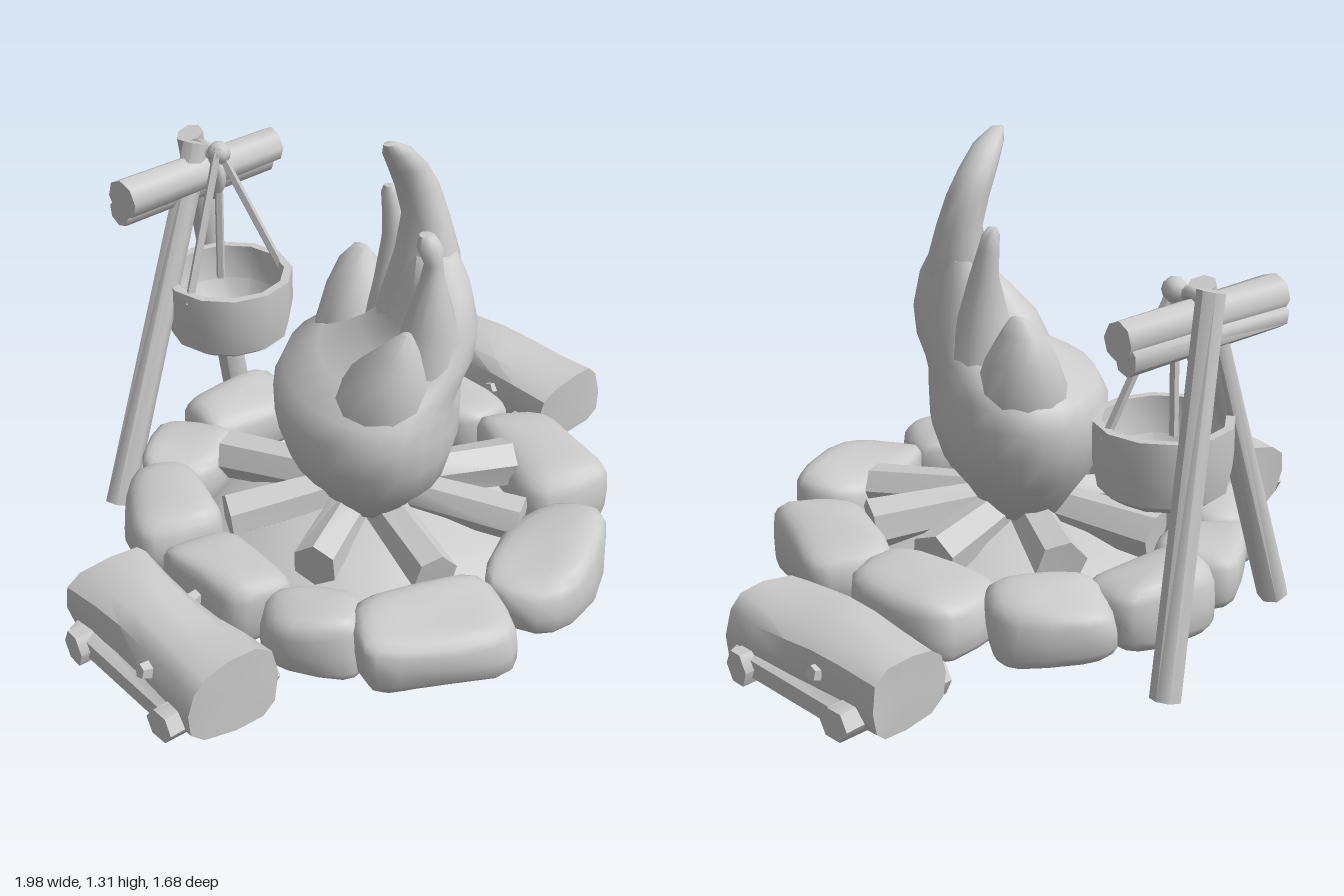
import * as THREE from 'three';
import { toCreasedNormals } from 'three/addons/utils/BufferGeometryUtils.js';

const mat = new THREE.MeshStandardMaterial({ color: 0xcccccc });
const matDouble = new THREE.MeshStandardMaterial({ color: 0xcccccc, side: THREE.DoubleSide });
const V = (x, y, z) => new THREE.Vector3(x, y, z);

function add(parent, name, geometry, material = mat) {
  const mesh = new THREE.Mesh(geometry, material);
  mesh.name = name;
  parent.add(mesh);
  return mesh;
}

// Repeatable wobble that depends only on position, so seams stay closed
function roughen(geometry, amount, seed) {
  const p = geometry.attributes.position;
  const v = V(0, 0, 0);
  const wave = (a, b, c, k) => Math.sin(a * 17 + b * 11 + c * 7 + seed * 2.3 + k);
  for (let i = 0; i < p.count; i++) {
    v.fromBufferAttribute(p, i);
    p.setXYZ(i, v.x + amount * wave(v.x, v.y, v.z, 0),
      v.y + amount * wave(v.y, v.z, v.x, 2), v.z + amount * wave(v.z, v.x, v.y, 4));
  }
  return geometry;
}

// Closed skin over level elliptical rings [x, y, z, radiusX, radiusZ], bottom to top;
// skew turns the long axis of the rings towards a diagonal
function loft(rows, sides, skew = 0) {
  const pos = [], idx = [];
  rows.forEach(([x, y, z, rx, rz]) => {
    for (let j = 0; j < sides; j++) {
      const a = (j / sides) * Math.PI * 2;
      pos.push(x + rx * Math.cos(a + skew), y, z + rz * Math.sin(a));
    }
  });
  const first = rows[0], last = rows[rows.length - 1];
  pos.push(first[0], first[1], first[2], last[0], last[1], last[2]);
  const c0 = rows.length * sides, top = c0 - sides;
  for (let j = 0; j < sides; j++) {
    const k = (j + 1) % sides;
    for (let i = 0; i < rows.length - 1; i++) {
      const a = i * sides + j, b = i * sides + k;
      idx.push(a, a + sides, b, b, a + sides, b + sides);
    }
    idx.push(c0, j, k, c0 + 1, top + k, top + j);
  }
  const g = new THREE.BufferGeometry();
  g.setAttribute('position', new THREE.Float32BufferAttribute(pos, 3));
  g.setIndex(idx);
  return toCreasedNormals(g, 1.1);
}

// Straight, slightly uneven piece of wood between two points
function beam(parent, name, a, b, r0, r1 = r0, sides = 7, rough = 0.006) {
  const d = b.clone().sub(a);
  const g = new THREE.CylinderGeometry(r1, r0, d.length(), sides, 1);
  roughen(g, rough, a.x * 9 + b.z * 5);
  const mesh = add(parent, name, toCreasedNormals(g, 0.95));
  mesh.position.copy(a).add(b).multiplyScalar(0.5);
  mesh.quaternion.setFromUnitVectors(V(0, 1, 0), d.normalize());
  return mesh;
}

// Push a round coordinate towards a box
const boxy = (t, power) => Math.sign(t) * Math.pow(Math.abs(t), power);

// Boulder
function stone(parent, x, z, length, width, turn, seed) {
  const g = new THREE.SphereGeometry(1, 16, 12);
  const p = g.attributes.position;
  for (let i = 0; i < p.count; i++) {
    p.setXYZ(i, boxy(p.getX(i), 0.6), boxy(p.getY(i), 0.5), boxy(p.getZ(i), 0.6));
  }
  g.scale(length / 2, 0.1, width / 2);
  roughen(g, 0.012, seed);
  const mesh = add(parent, 'stone', toCreasedNormals(g, 0.9));
  mesh.position.set(x, 0.14, z);
  mesh.rotation.y = turn;
}

// Squarish seat log lying along z on low cross pieces
function seat(x, z, turn, seed) {
  const group = new THREE.Group();
  group.name = 'logSeat';
  const g = new THREE.CylinderGeometry(1, 1, 0.57, 12, 5);
  g.rotateX(Math.PI / 2);
  const p = g.attributes.position;
  for (let i = 0; i < p.count; i++) {
    p.setXY(i, 0.133 * boxy(p.getX(i), 0.7), 0.112 * boxy(p.getY(i), 0.7));
  }
  roughen(g, 0.01, seed);
  add(group, 'log', toCreasedNormals(g, 0.7)).position.y = 0.127;
  for (const s of [-1, 1]) {
    beam(group, 'crossPiece', V(-0.17, 0.075, s * 0.2), V(0.18, 0.075, s * 0.2), 0.052, 0.048, 6);
    beam(group, 'twigStub', V(s * 0.08, 0.14, s * -0.08), V(s * 0.148, 0.16, s * -0.08), 0.03, 0.02, 5, 0.003);
  }
  beam(group, 'sideRail', V(0.105, 0.07, -0.2), V(0.105, 0.07, 0.25), 0.05, 0.05, 6);
  group.position.set(x, 0, z);
  group.rotation.y = turn;
  return group;
}

function firePit() {
  const group = new THREE.Group();
  group.name = 'firePit';
  // Ash bed
  const ash = [[0, 0.025], [0.46, 0.025], [0.5, 0.06], [0.42, 0.12], [0.25, 0.19], [0, 0.23]]
    .map(([r, y]) => new THREE.Vector2(r, y));
  add(group, 'ashBed', toCreasedNormals(new THREE.LatheGeometry(ash, 20), 0.6)).position.set(-0.02, 0, 0.1);
  // Ring of stones: x, z, length, width, turn
  [[-0.26, 0.66, 0.45, 0.29, -0.36], [0.185, 0.63, 0.46, 0.27, 0.42],
    [0.5, 0.27, 0.46, 0.28, 1.33], [0.48, -0.16, 0.41, 0.27, 1.8],
    [0.27, -0.44, 0.35, 0.25, -0.6], [-0.03, -0.5, 0.36, 0.25, 0.05],
    [-0.29, -0.41, 0.3, 0.24, 0.6], [-0.49, -0.21, 0.35, 0.25, 1.2],
    [-0.545, 0.145, 0.36, 0.24, 1.6], [-0.48, 0.45, 0.29, 0.2, -0.75]]
    .forEach((s, i) => stone(group, ...s, i));
  // Firewood pointing to the middle: outer end x, z
  [[-0.22, -0.3], [0.12, -0.3], [-0.4, -0.05], [-0.36, 0.29], [-0.14, 0.53],
    [0.22, 0.48], [0.39, 0.25], [0.38, -0.05]].forEach(([x, z]) => {
    const outer = V(x, 0.2, z), inner = V(-0.03, 0.24, 0.1).lerp(outer, 0.12);
    beam(group, 'firewood', outer, inner, 0.07, 0.058, 6);
  });
  return group;
}

function flame() {
  const group = new THREE.Group();
  group.name = 'flame';
  // Pear-shaped body with a shoulder sloping up to its tallest tongue
  add(group, 'flameBody', loft([
    [-0.03, 0.23, 0.1, 0.13, 0.17], [-0.03, 0.3, 0.1, 0.175, 0.225],
    [-0.035, 0.38, 0.11, 0.245, 0.3], [-0.035, 0.48, 0.11, 0.282, 0.335],
    [-0.035, 0.56, 0.11, 0.284, 0.34], [-0.02, 0.62, 0.115, 0.265, 0.325],
    [0.02, 0.67, 0.15, 0.215, 0.275], [0.07, 0.72, 0.2, 0.158, 0.215],
    [0.1, 0.8, 0.22, 0.125, 0.18], [0.11, 0.9, 0.21, 0.1, 0.15], [0.12, 0.98, 0.19, 0.07, 0.1]], 24, 0.3));
  const tongues = [
    // tall curling tongue
    [[0.09, 0.7, 0.18, 0.12, 0.16], [0.12, 0.95, 0.18, 0.085, 0.1], [0.125, 1.06, 0.165, 0.06, 0.075],
      [0.105, 1.15, 0.15, 0.06, 0.06], [0.07, 1.22, 0.15, 0.055, 0.05], [0.02, 1.28, 0.17, 0.045, 0.035],
      [-0.015, 1.315, 0.18, 0.02, 0.015]],
    // front tongue with a knob
    [[0, 0.6, 0.3, 0.11, 0.11], [0, 0.85, 0.33, 0.075, 0.07], [0, 0.97, 0.335, 0.035, 0.035],
      [0, 1.03, 0.34, 0.025, 0.025], [0, 1.07, 0.325, 0.035, 0.037], [0, 1.1, 0.315, 0.02, 0.025]],
    // rear tongue with a knob
    [[0.11, 0.6, 0.08, 0.12, 0.13], [0.13, 0.83, 0.05, 0.075, 0.06], [0.14, 0.95, 0.03, 0.04, 0.045],
      [0.135, 1.03, 0.015, 0.03, 0.03], [0.13, 1.07, 0.01, 0.025, 0.025], [0.125, 1.09, 0.01, 0.012, 0.015]],
    // low back tongue
    [[0.06, 0.48, -0.03, 0.14, 0.13], [0.08, 0.62, -0.06, 0.135, 0.14], [0.1, 0.74, -0.085, 0.1, 0.1],
      [0.11, 0.82, -0.1, 0.055, 0.06], [0.12, 0.86, -0.1, 0.015, 0.03]],
    // low front tongue
    [[-0.1, 0.48, 0.25, 0.16, 0.15], [-0.115, 0.63, 0.28, 0.14, 0.14], [-0.12, 0.73, 0.305, 0.1, 0.105],
      [-0.11, 0.8, 0.335, 0.055, 0.06], [-0.1, 0.86, 0.355, 0.012, 0.015]],
  ];
  tongues.forEach((rows) => add(group, 'flameTongue', loft(rows, 12)));
  return group;
}

function potStand() {
  const group = new THREE.Group();
  group.name = 'potStand';
  // Two crossing legs and the pair of bars they carry
  beam(group, 'standLeg', V(-0.48, 0.03, -0.51), V(-0.08, 1.05, -0.61), 0.048, 0.042);
  beam(group, 'standLeg', V(0.17, 0.03, -0.8), V(-0.06, 1.05, -0.67), 0.048, 0.042);
  beam(group, 'crossBar', V(-0.36, 0.97, -0.58), V(0.21, 0.965, -0.62), 0.055, 0.052, 8);
  beam(group, 'crossBar', V(-0.36, 0.92, -0.6), V(0.2, 0.92, -0.64), 0.037, 0.042, 7);
  // Rope loop over the bars with a knot
  const loop = add(group, 'ropeLoop', new THREE.TorusGeometry(0.075, 0.018, 6, 14));
  loop.position.set(-0.05, 0.96, -0.61);
  loop.rotation.y = Math.PI / 2;
  add(group, 'ropeKnot', new THREE.SphereGeometry(0.035, 8, 6)).position.set(-0.04, 1.03, -0.55);
  // Open cooking pot
  const profile = [[0, 0.445], [0.13, 0.45], [0.175, 0.48], [0.19, 0.56], [0.19, 0.665],
    [0.165, 0.665], [0.16, 0.56], [0.12, 0.5], [0, 0.49]].map(([r, y]) => new THREE.Vector2(r, y));
  const pot = add(group, 'pot', toCreasedNormals(new THREE.LatheGeometry(profile, 12), 0.7), matDouble);
  pot.position.set(-0.05, 0, -0.51);
  // Ropes from the knot to the rim
  [[-0.22, -0.47], [0.12, -0.47], [-0.05, -0.55]].forEach(([x, z]) =>
    beam(group, 'potRope', V(x, 0.63, z), V(-0.05, 1.05, -0.54), 0.013, 0.013, 5, 0.001));
  return group;
}

export function createModel() {
  const model = new THREE.Group();
  model.name = 'campfire';
  model.add(firePit(), flame(), potStand());
  model.add(seat(-0.8, 0.23, Math.PI, 1), seat(0.8, -0.23, 0.12, 2));
  return model;
}
